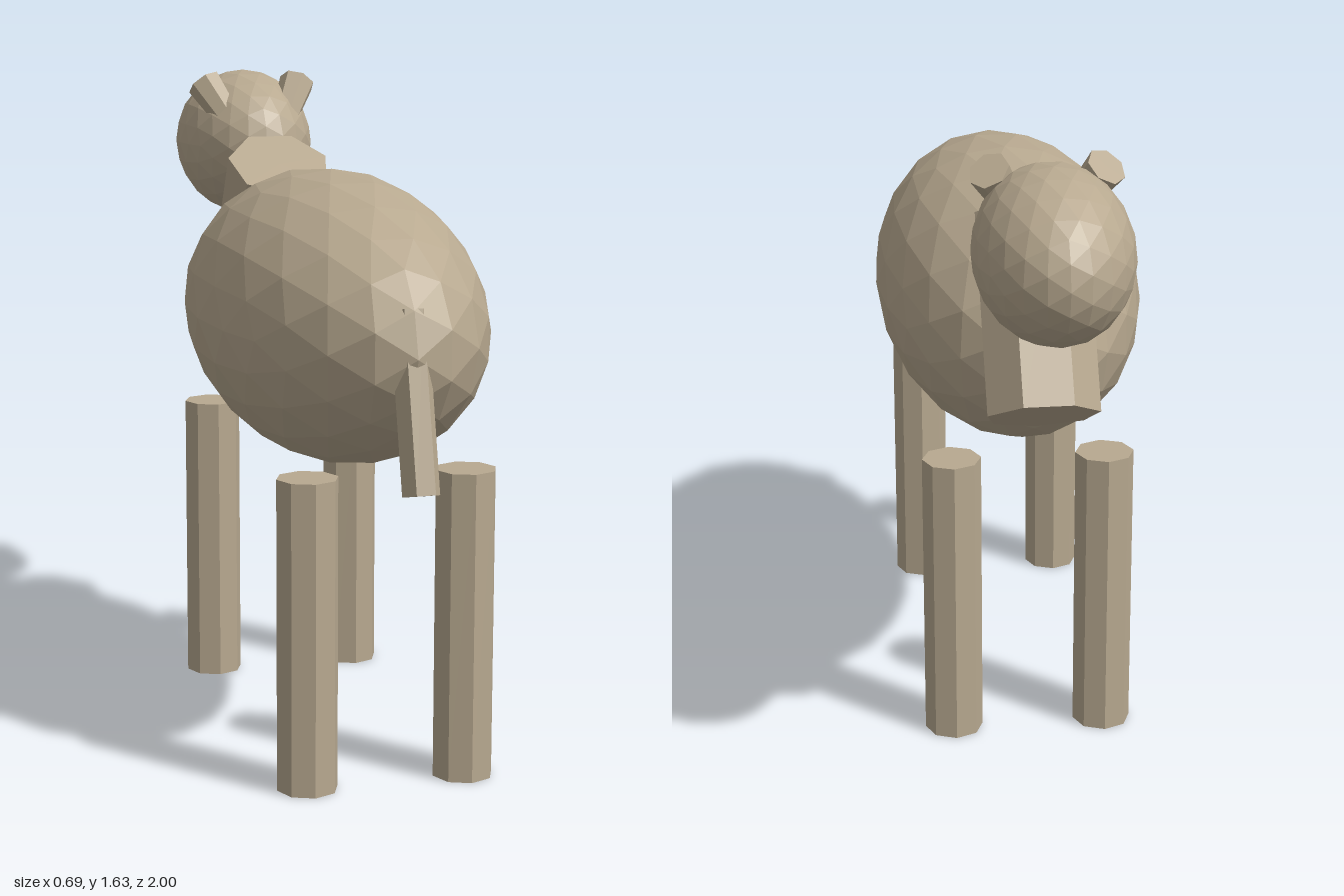
import * as THREE from 'three';

export function createModel() {
  const model = new THREE.Group();
  const hide = new THREE.MeshStandardMaterial({ color: 0xb8a990, flatShading: true });
  hide.name = 'tan hide';

  function add(name, geometry, x, y, z) {
    const mesh = new THREE.Mesh(geometry, hide);
    mesh.name = name;
    mesh.position.set(x, y, z);
    model.add(mesh);
    return mesh;
  }

  // Faceted ellipsoid with the given radii
  const ellipsoid = (rx, ry, rz) => new THREE.IcosahedronGeometry(1, 3).scale(rx, ry, rz);

  // Body and head
  add('body', ellipsoid(0.345, 0.362, 0.722), 0, 1.068, 0.213);
  add('head', ellipsoid(0.187, 0.203, 0.283), 0, 1.428, -0.717);

  // Neck, a seven-sided block leaning back into the body
  add('neck', new THREE.CylinderGeometry(0.14, 0.14, 0.5, 7), 0, 1.185, -0.428).rotation.x = 0.55;

  // Tail, hanging down and away from the rump
  const tail = new THREE.CylinderGeometry(0.045, 0.045, 0.42, 6).rotateY(Math.PI / 2);
  add('tail', tail, 0, 0.966, 0.911).rotation.x = -0.25;

  // Legs and ears, mirrored
  const up = new THREE.Vector3(0, 1, 0);
  for (const [side, s] of [['left', 1], ['right', -1]]) {
    for (const [end, z] of [['Front', -0.285], ['Back', 0.705]]) {
      add(side + end + 'Leg', new THREE.CylinderGeometry(0.075, 0.075, 0.76, 8), s * 0.195, 0.38, z);
    }
    // Ear flares towards its flat tip
    const axis = new THREE.Vector3(s * 0.42, 0.75, -0.52).normalize();
    const ear = add(side + 'Ear', new THREE.CylinderGeometry(0.05, 0.034, 0.17, 7), s * 0.135, 1.6, -0.62);
    ear.quaternion.setFromUnitVectors(up, axis);
    ear.position.addScaledVector(axis, -0.085);
  }

  return model;
}
